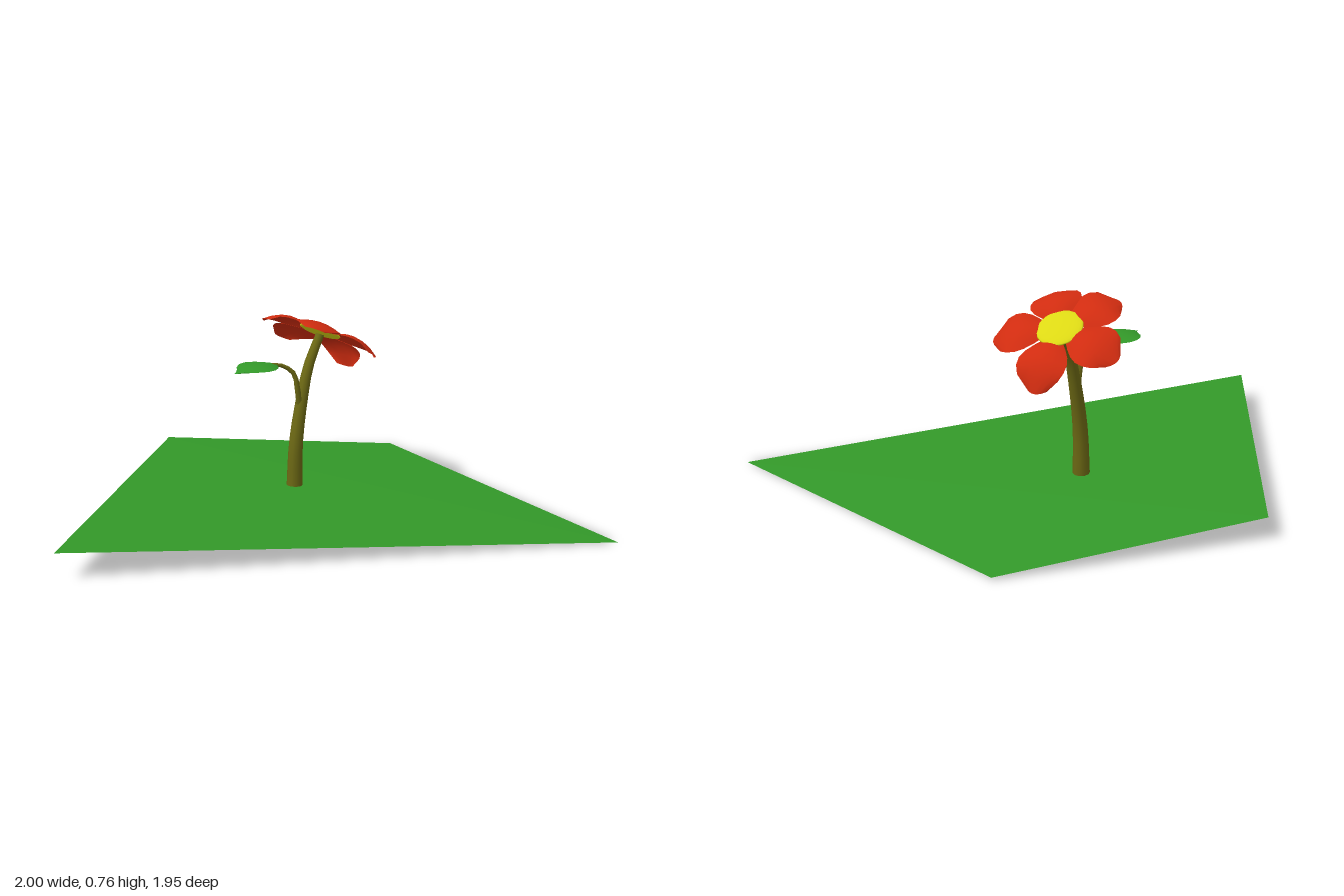
import * as THREE from 'three';

const mat = (color) => new THREE.MeshStandardMaterial({ color, side: THREE.DoubleSide });
const green = mat(0x339929), red = mat(0xd02c10), yellow = mat(0xdcd814), olive = mat(0x6c6814);

function add(parent, name, geometry, material) {
  const mesh = new THREE.Mesh(geometry, material);
  mesh.name = name;
  parent.add(mesh);
  return mesh;
}

// Tube along a smooth path, narrowing from radius r0 to r1
function taperedTube(points, r0, r1, segments, sides) {
  const curve = new THREE.CatmullRomCurve3(points.map((p) => new THREE.Vector3(...p)));
  const geo = new THREE.TubeGeometry(curve, segments, r0, sides);
  const pos = geo.attributes.position, v = new THREE.Vector3();
  for (let i = 0; i < pos.count; i++) {
    const t = Math.floor(i / (sides + 1)) / segments;
    const centre = curve.getPointAt(t);
    v.fromBufferAttribute(pos, i).sub(centre).multiplyScalar(1 + (r1 / r0 - 1) * t).add(centre);
    pos.setXYZ(i, v.x, v.y, v.z);
  }
  return geo;
}

// Thin blade pointing to -z: half-widths per row, arched across, height(t) along
function blade(start, end, widths, arch, height) {
  const rows = widths.length - 1;
  const geo = new THREE.PlaneGeometry(2, 1, 6, rows).rotateX(-Math.PI / 2);
  const pos = geo.attributes.position;
  for (let i = 0; i < pos.count; i++) {
    const s = pos.getX(i), t = 0.5 - pos.getZ(i);
    const w = widths[Math.round(t * rows)];
    // outer rows bow back at the sides for a rounded tip
    const r = start + (end - start) * (t - 0.1 * t * t * s * s);
    pos.setXYZ(i, s * w, height(t) - arch * s * s * Math.sin(Math.PI * Math.min(t + 0.1, 1)), -r);
  }
  geo.computeVertexNormals();
  return geo;
}

export function createModel() {
  const model = new THREE.Group();
  model.name = 'flowerOnGround';

  // Ground: a four-cornered tilted sheet
  const ground = new THREE.BufferGeometry();
  ground.setAttribute('position', new THREE.Float32BufferAttribute([
    -0.33, 0.01, -0.98, -1, 0.087, -0.265, -0.385, 0.11, 0.97, 1, 0, -0.595], 3));
  ground.setIndex([0, 1, 3, 1, 2, 3]);
  const flat = ground.toNonIndexed();
  flat.computeVertexNormals();
  add(model, 'ground', flat, green);

  // Stem bending backwards to the flower head
  add(model, 'stem', taperedTube([
    [-0.237, 0.065, -0.19], [-0.237, 0.24, -0.2], [-0.237, 0.42, -0.24],
    [-0.237, 0.54, -0.28], [-0.235, 0.66, -0.355]], 0.032, 0.017, 10, 10), olive);

  // Flower head, tilted to the back
  const head = new THREE.Group();
  head.name = 'flowerHead';
  head.position.set(-0.235, 0.668, -0.352);
  head.rotation.x = -Math.PI / 6;
  model.add(head);
  add(head, 'flowerCentre', new THREE.SphereGeometry(0.085, 24, 12), yellow).scale.y = 0.15;

  const petalWidths = [0.035, 0.062, 0.083, 0.094, 0.093, 0.08, 0.04];
  const petals = [[90, 0.25, 0.07], [164, 0.255, 0.04], [234, 0.24, 0.035], [302, 0.225, 0.035], [16, 0.255, 0.04]];
  for (const [angle, length, droop] of petals) {
    const geo = blade(0.055, length, petalWidths, 0.022, (t) => 0.016 * Math.sin(Math.PI * t) - droop * t ** 3);
    add(head, 'petal', geo, red).rotation.y = THREE.MathUtils.degToRad(angle - 90);
  }

  // Leaf on a thin curved stalk
  add(model, 'leafStalk', taperedTube([
    [-0.237, 0.38, -0.225], [-0.238, 0.46, -0.212], [-0.25, 0.525, -0.203],
    [-0.28, 0.562, -0.16], [-0.31, 0.572, -0.08], [-0.325, 0.572, -0.02]], 0.014, 0.003, 12, 6), olive);
  const leaf = add(model, 'leaf', blade(0, 0.21, [0.004, 0.052, 0.078, 0.085, 0.076, 0.052, 0.006],
    0.012, (t) => 0.018 * Math.sin(Math.PI * t) - 0.005 * t), green);
  leaf.position.set(-0.295, 0.567, -0.157);
  leaf.rotation.y = Math.PI - 0.22;
  leaf.rotation.order = 'YXZ';
  leaf.rotation.y = Math.PI - 0.22;
  return model;
}
